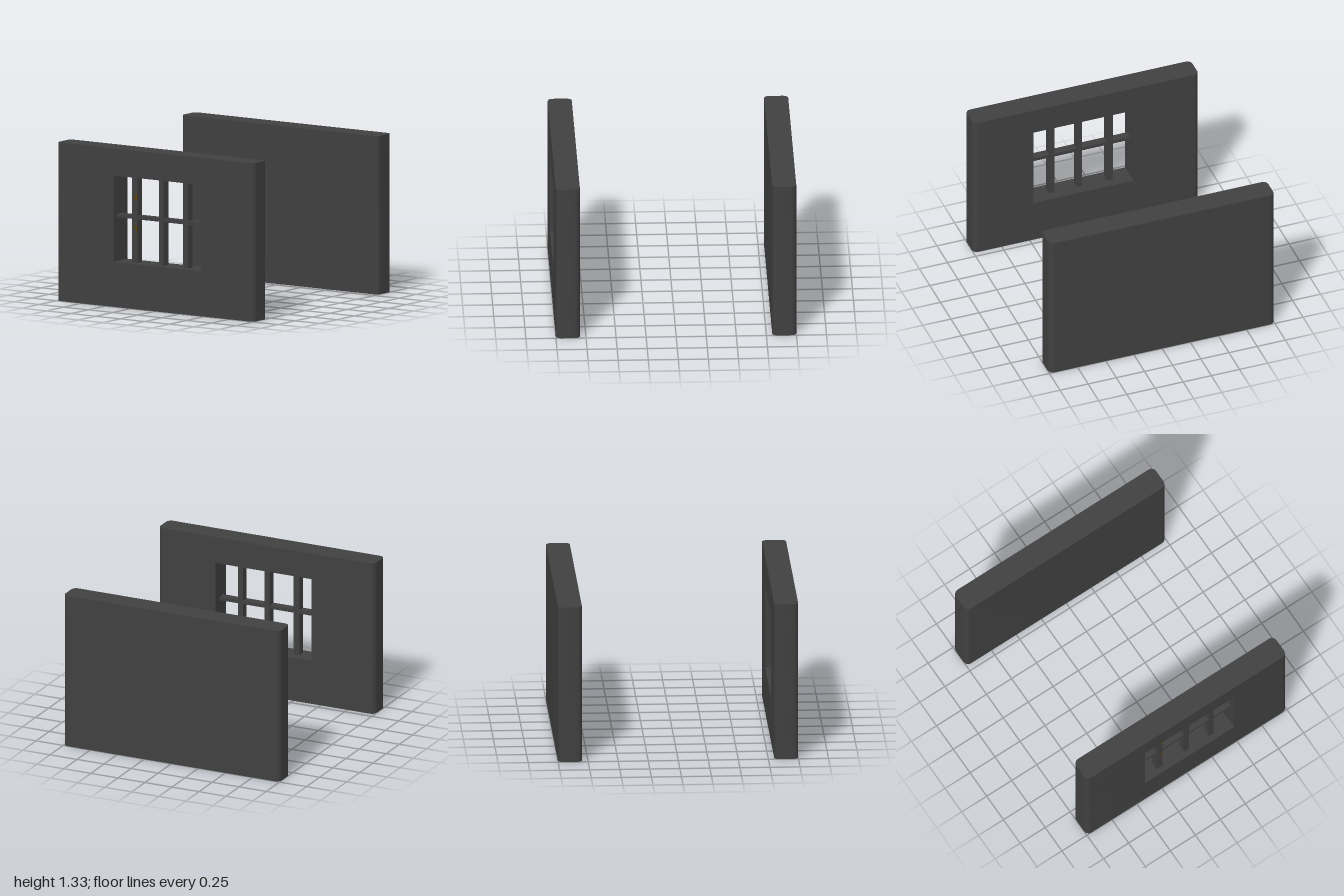
import * as THREE from 'three';
import { toCreasedNormals } from 'three/addons/utils/BufferGeometryUtils.js';

const stone = new THREE.MeshStandardMaterial({ color: 0x404040 });
stone.name = 'darkStone';
const rust = new THREE.MeshStandardMaterial({ color: 0x5c400a });
rust.name = 'rust';

const HEIGHT = 1.333, RADIUS = 0.045;
const WINDOW = { x0: -0.42, x1: 0.47, y0: 0.38, y1: 1.105 };
const BAR_BACK = 0.88, BAR_FRONT = 0.95;

// Upright slab, 0.2 thick around z, with its left and/or right corners rounded in plan
function slab(name, x0, x1, y0, y1, z, roundX0 = true, roundX1 = true) {
  const a = roundX0 ? RADIUS : 0, b = roundX1 ? RADIUS : 0, t = 0.1;
  const s = new THREE.Shape();
  s.moveTo(x0 + a, -t);
  s.lineTo(x1 - b, -t);
  if (b) s.absarc(x1 - b, -t + b, b, -Math.PI / 2, 0);
  s.lineTo(x1, t - b);
  if (b) s.absarc(x1 - b, t - b, b, 0, Math.PI / 2);
  s.lineTo(x0 + a, t);
  if (a) s.absarc(x0 + a, t - a, a, Math.PI / 2, Math.PI);
  s.lineTo(x0, -t + a);
  if (a) s.absarc(x0 + a, -t + a, a, Math.PI, Math.PI * 1.5);
  const geo = new THREE.ExtrudeGeometry(s, { depth: y1 - y0, bevelEnabled: false, curveSegments: 6 });
  geo.rotateX(-Math.PI / 2);
  const mesh = new THREE.Mesh(toCreasedNormals(geo, 0.6), stone);
  mesh.position.set(0, y0, z);
  mesh.name = name;
  return mesh;
}

// Box given by its limits
function box(name, x0, x1, y0, y1, z0, z1, material) {
  const mesh = new THREE.Mesh(new THREE.BoxGeometry(x1 - x0, y1 - y0, z1 - z0), material);
  mesh.position.set((x0 + x1) / 2, (y0 + y1) / 2, (z0 + z1) / 2);
  mesh.name = name;
  return mesh;
}

// Irregular flat patch lying on the front of a bar
function patch(name, points) {
  const shape = new THREE.Shape(points.map(([x, y]) => new THREE.Vector2(x, y)));
  const geo = new THREE.ExtrudeGeometry(shape, { depth: 0.002, bevelEnabled: false });
  const mesh = new THREE.Mesh(geo, rust);
  mesh.position.z = BAR_FRONT;
  mesh.name = name;
  return mesh;
}

export function createModel() {
  const model = new THREE.Group();
  model.name = 'cellWalls';

  // Solid back wall
  model.add(slab('backWall', -1, 1, 0, HEIGHT, -0.9));

  // Front wall built around the window opening
  const { x0, x1, y0, y1 } = WINDOW;
  const front = new THREE.Group();
  front.name = 'frontWall';
  front.add(
    slab('wallBelowWindow', -1, 1, 0, y0, 0.9),
    slab('wallAboveWindow', -1, 1, y1, HEIGHT, 0.9),
    slab('wallRightOfWindow', -1, x0, y0, y1, 0.9, true, false),
    slab('wallLeftOfWindow', x1, 1, y0, y1, 0.9, false, true)
  );
  model.add(front);

  // Window bars
  const bars = new THREE.Group();
  bars.name = 'windowBars';
  for (const [a, b] of [[-0.267, -0.213], [0.006, 0.054], [0.254, 0.301]])
    bars.add(box('uprightBar', a, b, y0, y1, BAR_BACK, BAR_FRONT, stone));
  bars.add(box('crossBar', x0, x1, 0.748, 0.778, BAR_BACK, BAR_FRONT, stone));
  model.add(bars);

  // Rust stains on the first upright bar
  model.add(
    patch('upperRustStain', [[-0.245, 0.915], [-0.213, 0.91], [-0.213, 0.955], [-0.225, 0.965], [-0.235, 0.94]]),
    patch('lowerRustStain', [[-0.25, 0.68], [-0.225, 0.67], [-0.22, 0.635], [-0.213, 0.635], [-0.213, 0.69], [-0.245, 0.695]])
  );
  return model;
}
